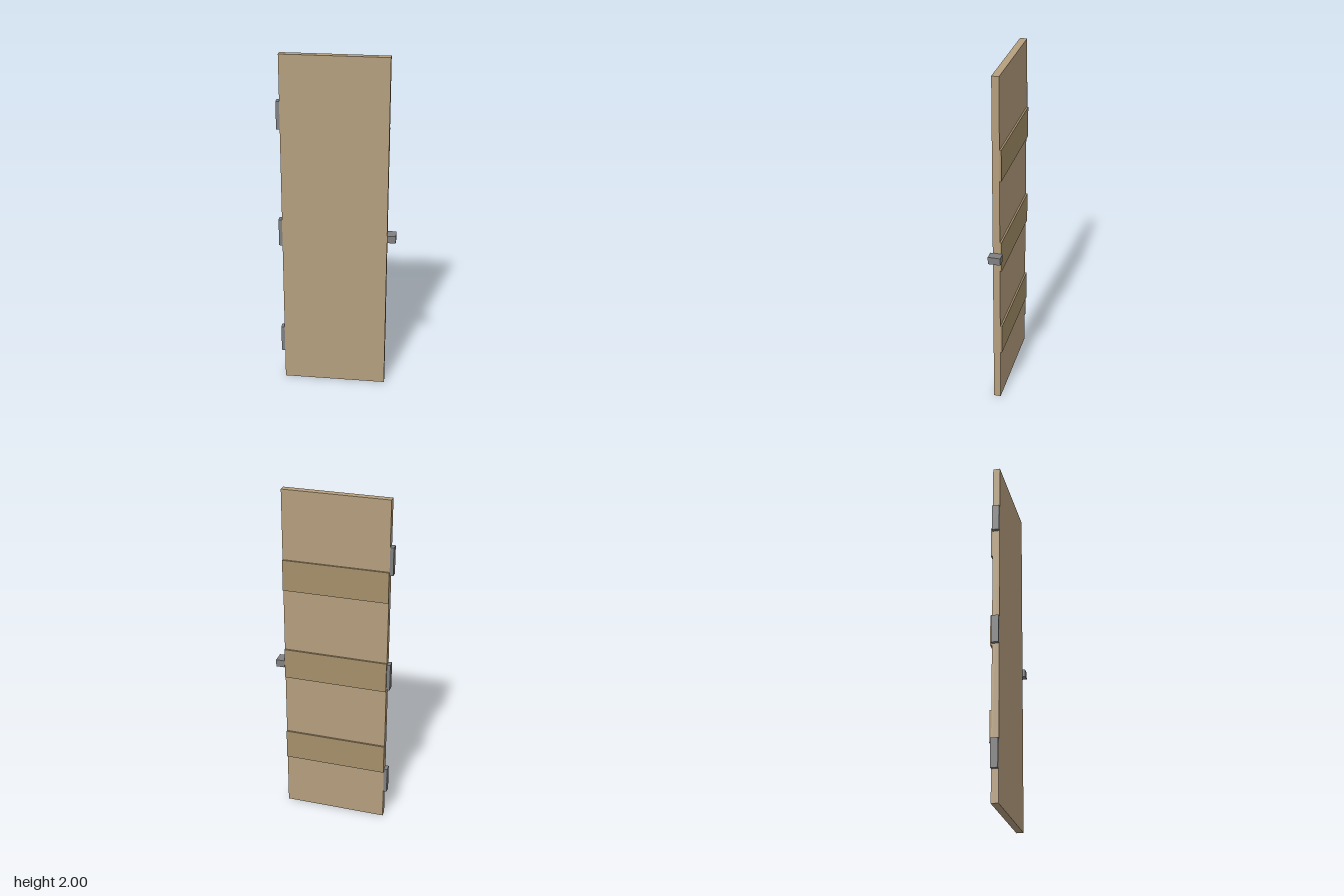
import * as THREE from 'three';

export function createModel() {
  const model = new THREE.Group();
  model.name = 'plankDoor';

  const wood = new THREE.MeshStandardMaterial({ color: 0xb59f7e });
  const battenWood = new THREE.MeshStandardMaterial({ color: 0xa58f6a });
  const metal = new THREE.MeshStandardMaterial({ color: 0x808080 });

  // Box given by its lower and upper corners
  const addBox = (name, material, [x0, y0, z0], [x1, y1, z1]) => {
    const mesh = new THREE.Mesh(new THREE.BoxGeometry(x1 - x0, y1 - y0, z1 - z0), material);
    mesh.position.set((x0 + x1) / 2, (y0 + y1) / 2, (z0 + z1) / 2);
    mesh.name = name;
    model.add(mesh);
  };

  const left = 0.285, right = -0.315, half = 0.02;

  // Door leaf
  addBox('panel', wood, [right, 0, -half], [left, 2, half]);

  // Horizontal battens across the back
  [0.32, 0.87, 1.42].forEach((y, i) =>
    addBox(`batten${i + 1}`, battenWood, [right, y, -0.03], [left, y + 0.18, -half]));

  // Hinges along one edge
  [0.18, 0.88, 1.58].forEach((y, i) =>
    addBox(`hinge${i + 1}`, metal, [right - 0.02, y, -half], [right, y + 0.16, half]));

  // Latch handle on the opposite edge
  addBox('handle', metal, [left, 0.937, -0.035], [left + 0.05, 0.98, 0.035]);

  return model;
}
